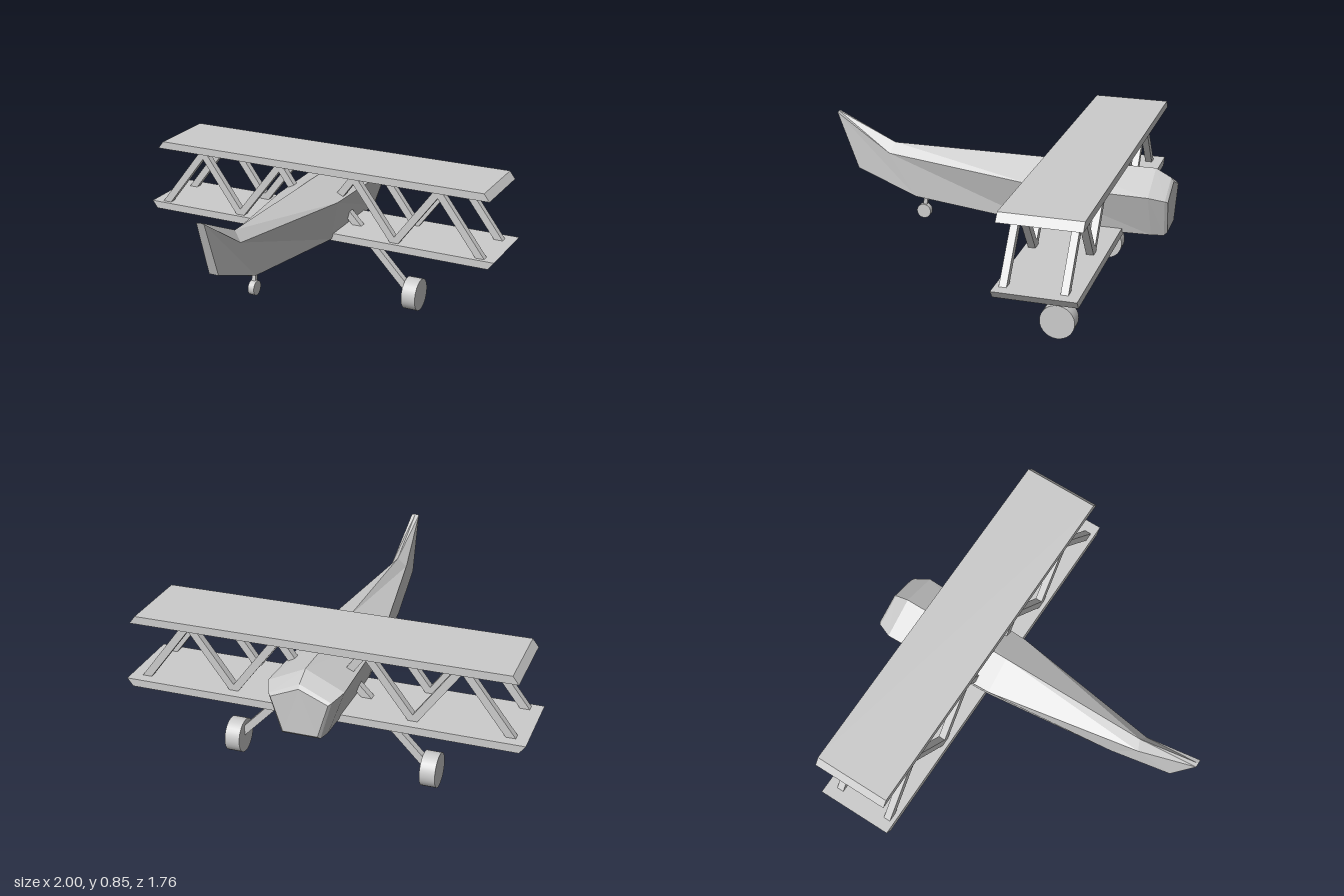
import * as THREE from 'three';

const mat = new THREE.MeshStandardMaterial({ color: 0xcccccc, flatShading: true });
const smooth = new THREE.MeshStandardMaterial({ color: 0xcccccc });

function add(parent, name, geometry, material = mat) {
  const mesh = new THREE.Mesh(geometry, material);
  mesh.name = name;
  parent.add(mesh);
  return mesh;
}

// Square bar between two points, with depth measured along z
function bar(parent, name, a, b, width, depth) {
  const from = new THREE.Vector3(...a), dir = new THREE.Vector3(...b).sub(from);
  const mesh = add(parent, name, new THREE.BoxGeometry(width, dir.length(), depth));
  mesh.position.copy(from).addScaledVector(dir, 0.5);
  mesh.quaternion.setFromUnitVectors(new THREE.Vector3(0, 1, 0), dir.normalize());
  return mesh;
}

// Wing slab whose tips slope between its top and bottom half spans
function wing(parent, name, topHalf, bottomHalf, y0, y1, z0, z1) {
  const shape = new THREE.Shape([
    new THREE.Vector2(-bottomHalf, y0), new THREE.Vector2(bottomHalf, y0),
    new THREE.Vector2(topHalf, y1), new THREE.Vector2(-topHalf, y1),
  ]);
  const geometry = new THREE.ExtrudeGeometry(shape, { depth: z1 - z0, bevelEnabled: false });
  add(parent, name, geometry.translate(0, 0, z0));
}

function wheel(parent, name, radius, width, x, y, z) {
  const geometry = new THREE.CylinderGeometry(radius, radius, width, 32).rotateZ(Math.PI / 2);
  add(parent, name, geometry, smooth).position.set(x, y, z);
}

// Five-sided body lofted through slanted sections, nose to tail
function fuselageGeometry() {
  // ridge [z, y], shoulder [z, y, half width], belly [z, y, half width]
  const sections = [
    [[-0.88, 0.655], [-0.88, 0.595, 0.14], [-0.875, 0.42, 0.085]],
    [[-0.867, 0.675], [-0.867, 0.603, 0.153], [-0.86, 0.406, 0.095]],
    [[-0.79, 0.715], [-0.79, 0.625, 0.187], [-0.8, 0.407, 0.11]],
    [[-0.2, 0.715], [-0.2, 0.625, 0.168], [-0.25, 0.395, 0.11]],
    [[0.57, 0.712], [0.59, 0.663, 0.042], [0.45, 0.443, 0.045]],
    [[0.88, 0.853], [0.88, 0.85, 0.02], [0.77, 0.56, 0.025]],
  ];
  const rings = sections.map(([r, s, b]) => [
    [0, r[1], r[0]], [-s[2], s[1], s[0]], [-b[2], b[1], b[0]],
    [b[2], b[1], b[0]], [s[2], s[1], s[0]],
  ]);
  const out = [];
  const tri = (...points) => points.forEach((p) => out.push(...p));
  for (let i = 0; i < rings.length - 1; i++) {
    for (let j = 0; j < 5; j++) {
      const k = (j + 1) % 5;
      tri(rings[i][j], rings[i][k], rings[i + 1][k]);
      tri(rings[i][j], rings[i + 1][k], rings[i + 1][j]);
    }
  }
  const nose = rings[0], tail = rings[rings.length - 1];
  for (let j = 1; j < 4; j++) {
    tri(nose[0], nose[j + 1], nose[j]);
    tri(tail[0], tail[j], tail[j + 1]);
  }
  const geometry = new THREE.BufferGeometry();
  geometry.setAttribute('position', new THREE.Float32BufferAttribute(out, 3));
  geometry.computeVertexNormals();
  return geometry;
}

export function createModel() {
  const model = new THREE.Group();
  model.name = 'biplane';

  add(model, 'fuselage', fuselageGeometry());
  wing(model, 'upperWing', 0.925, 0.955, 0.735, 0.775, -0.665, -0.27);
  wing(model, 'lowerWing', 1, 0.97, 0.385, 0.425, -0.655, -0.26);

  // Zigzag struts between the wings, in a front and a rear row
  const struts = new THREE.Group();
  struts.name = 'wingStruts';
  model.add(struts);
  const zigzag = [[0.94, 0.675], [0.43, 0.685], [0.475, 0.21], [-0.035, 0.22]];
  for (const z of [-0.3, -0.583]) {
    for (const side of [-1, 1]) {
      for (const [low, high] of zigzag) {
        bar(struts, 'wingStrut', [side * low, 0.395, z], [side * high, 0.745, z], 0.038, 0.036);
      }
    }
  }

  // Main landing gear
  for (const side of [-1, 1]) {
    const gear = new THREE.Group();
    gear.name = side > 0 ? 'leftLandingGear' : 'rightLandingGear';
    model.add(gear);
    bar(gear, 'gearLeg', [side * 0.49, 0.1, -0.443], [side * 0.115, 0.49, -0.443], 0.038, 0.038);
    wheel(gear, 'mainWheel', 0.087, 0.078, side * 0.508, 0.088, -0.448);
  }

  // Tail wheel
  bar(model, 'tailWheelLeg', [0.012, 0.36, 0.413], [0.012, 0.47, 0.395], 0.02, 0.02);
  wheel(model, 'tailWheel', 0.037, 0.032, 0.014, 0.36, 0.412);

  return model;
}
